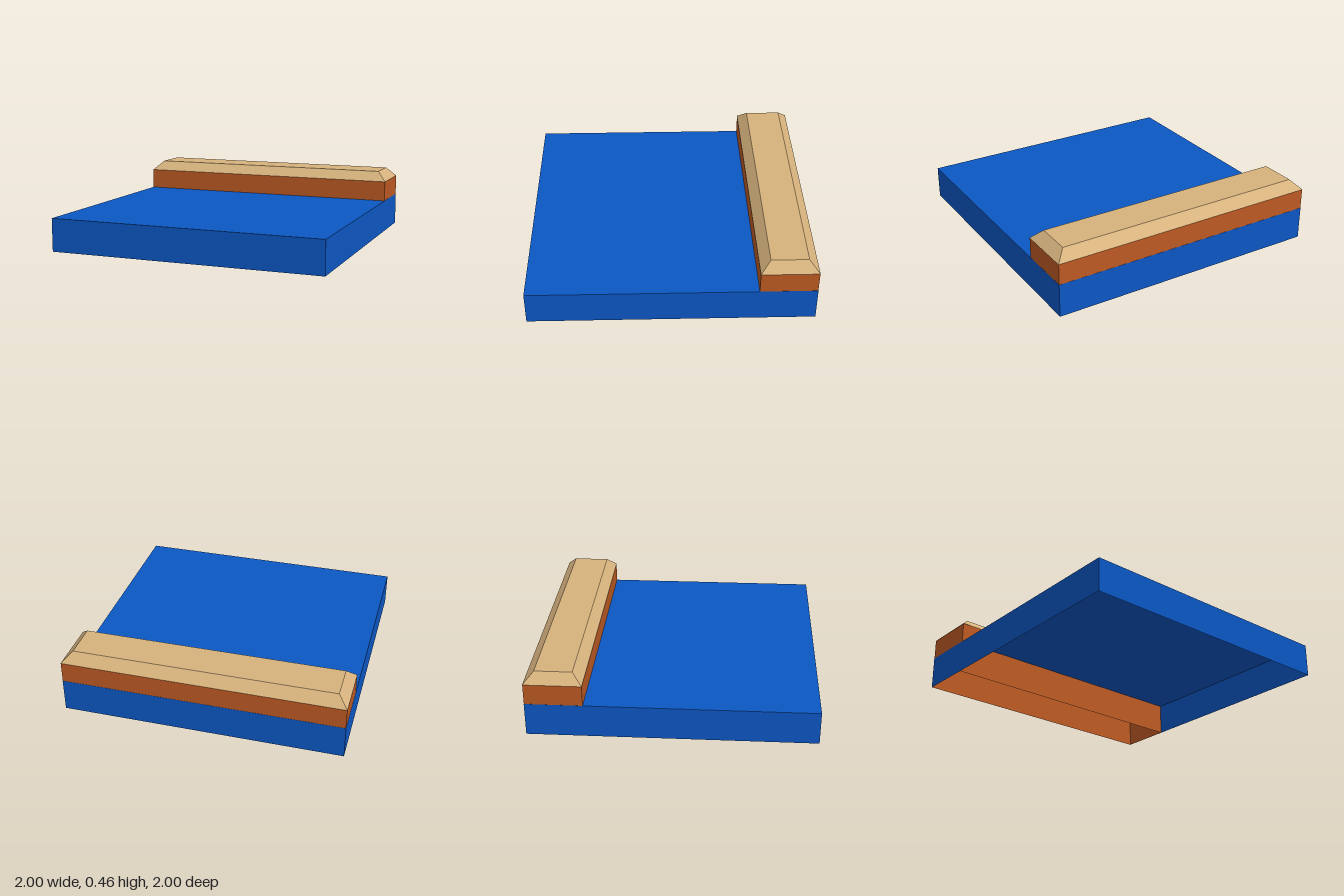
import * as THREE from 'three';

// Box standing on y0 with its underside left open
function openBox(w, h, d, y0, z) {
  const geo = new THREE.BoxGeometry(w, h, d);
  const index = Array.from(geo.index.array);
  index.splice(18, 6); // the downward face
  geo.setIndex(index);
  geo.clearGroups();
  geo.translate(0, y0 + h / 2, z);
  return geo;
}

export function createModel() {
  const model = new THREE.Group();
  model.name = 'steppedBlock';

  const paint = (name, color) => {
    const m = new THREE.MeshStandardMaterial({ color, side: THREE.DoubleSide });
    m.name = name;
    return m;
  };
  const add = (name, geo, mat) => {
    const mesh = new THREE.Mesh(geo, mat);
    mesh.name = name;
    model.add(mesh);
  };

  const baseH = 0.24, wallTop = 0.39, capTop = 0.46, bevel = 0.07;
  const wallD = 0.4, wallZ = -0.8;

  // Square base, hollow from below
  add('base', openBox(2, baseH, 2, 0, 0), paint('blue', 0x0c57c4));

  // Rear wall reaches the ground inside the base, a hair inside its skin
  add('rearWall', openBox(1.998, wallTop, wallD - 0.002, 0, wallZ), paint('rust', 0xbd5a23));

  // Coping with all four upper edges chamfered
  const cap = openBox(2, capTop - wallTop, wallD, wallTop, 0);
  const p = cap.attributes.position;
  for (let i = 0; i < p.count; i++) {
    if (p.getY(i) > wallTop + 0.01) {
      p.setX(i, p.getX(i) - Math.sign(p.getX(i)) * bevel);
      p.setZ(i, p.getZ(i) - Math.sign(p.getZ(i)) * bevel);
    }
  }
  cap.translate(0, 0, wallZ);
  cap.computeVertexNormals();
  add('coping', cap, paint('tan', 0xd6b27d));

  return model;
}
